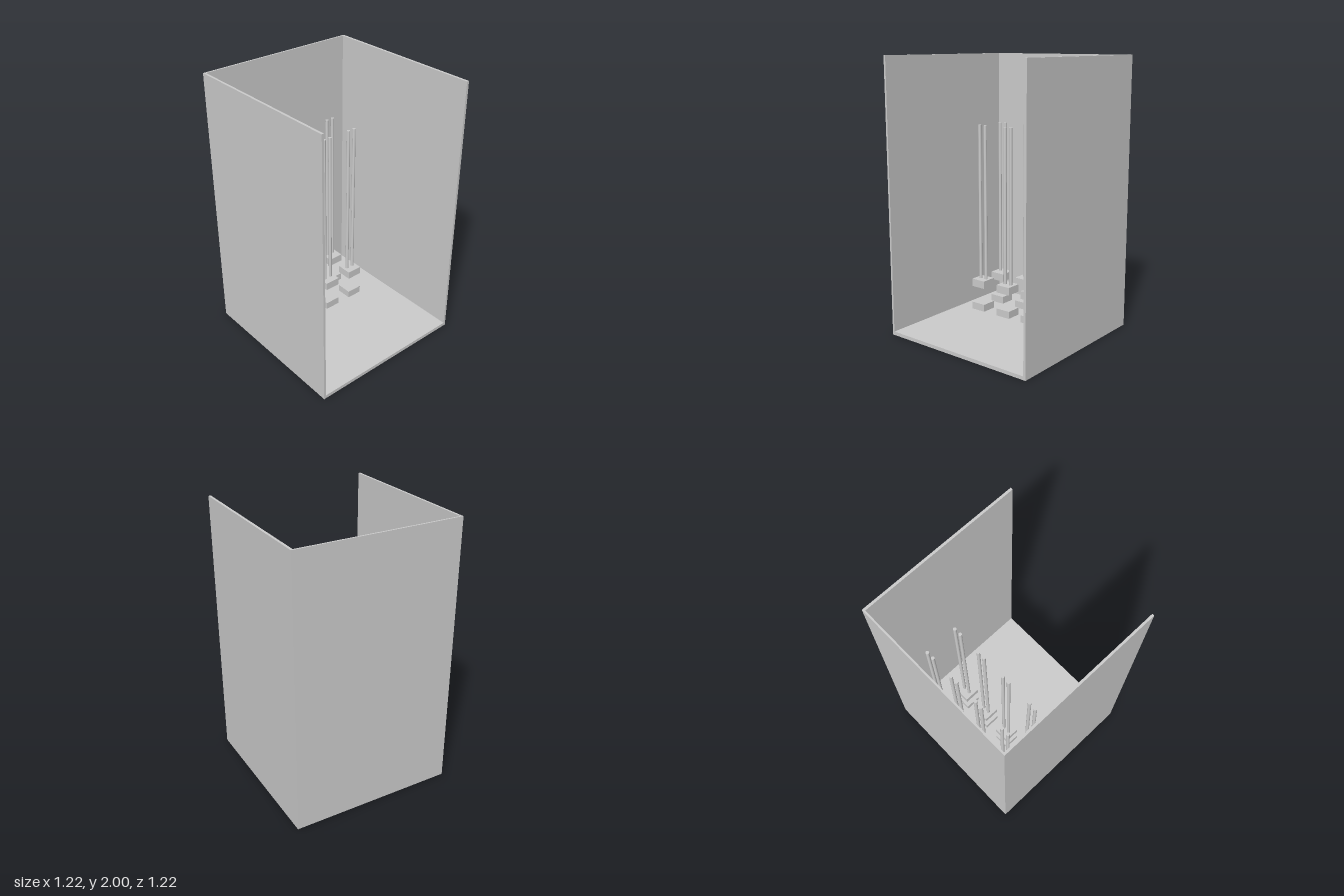
import * as THREE from 'three';

export function createModel() {
  const model = new THREE.Group();
  const material = new THREE.MeshStandardMaterial({ color: 0xcccccc });

  const add = (parent, name, geometry, x, y, z) => {
    const mesh = new THREE.Mesh(geometry, material);
    mesh.name = name;
    mesh.position.set(x, y, z);
    parent.add(mesh);
  };

  // Box given by its minimum and maximum corners
  const box = (parent, name, [x0, y0, z0], [x1, y1, z1]) =>
    add(parent, name, new THREE.BoxGeometry(x1 - x0, y1 - y0, z1 - z0),
      (x0 + x1) / 2, (y0 + y1) / 2, (z0 + z1) / 2);

  // Enclosure, open at the top and on the +x side
  const h = 0.608, front = h - 0.016, back = -h + 0.018, side = -h + 0.012, floorTop = 0.026;
  box(model, 'floor', [side, 0, back], [h, floorTop, front]);
  box(model, 'frontWall', [-h, 0, front], [h, 2, h]);
  box(model, 'backWall', [-h, 0, -h], [h, 2, back]);
  box(model, 'sideWall', [-h, 0, back], [side, 2, front]);

  // Two rows of four stations: a floor block, a raised block and a pair of rods
  const half = 0.06, rodBottom = 0.272, rodTop = 1.475;
  const rod = new THREE.CylinderGeometry(0.012, 0.012, rodTop - rodBottom, 24);
  const rows = [{ x: -0.397, rodX: -0.411 }, { x: -0.166, rodX: -0.169 }];
  for (const { x, rodX } of rows) {
    for (const z of [-0.302, -0.074, 0.159, 0.405]) {
      const station = new THREE.Group();
      station.name = 'rodStation';
      box(station, 'floorBlock', [x - half, floorTop, z - half], [x + half, 0.082, z + half]);
      box(station, 'raisedBlock', [x - half, 0.212, z - half], [x + half, rodBottom, z + half]);
      for (const dz of [-0.028, 0.025]) {
        add(station, 'rod', rod, rodX, (rodBottom + rodTop) / 2, z + dz);
      }
      model.add(station);
    }
  }
  return model;
}
